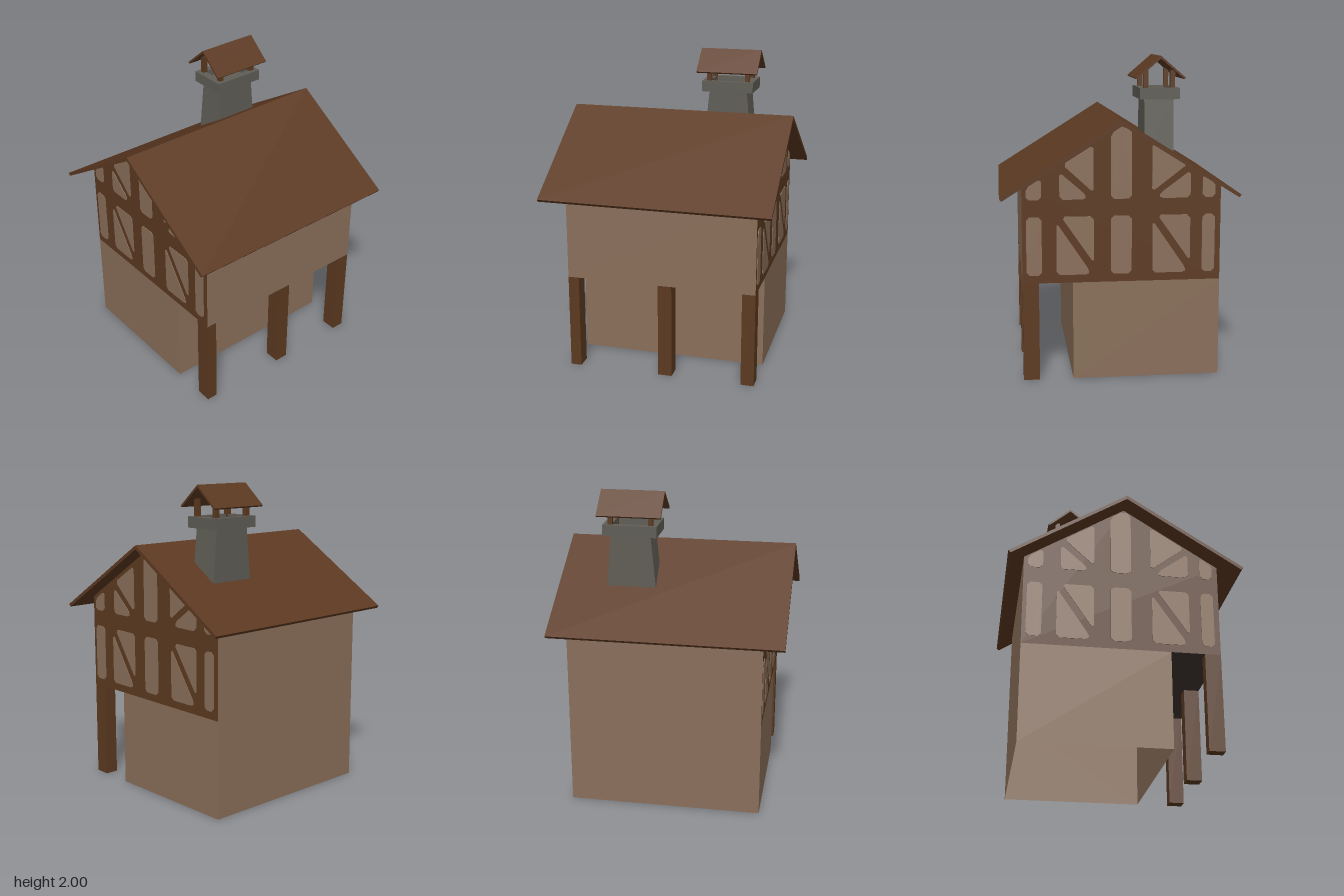
import * as THREE from 'three';

const mat = (name, color, side = THREE.FrontSide) => {
  const m = new THREE.MeshStandardMaterial({ color, side });
  m.name = name;
  return m;
};

// Main dimensions
const L = -0.63, R = 0.6, INNER = 0.29, FRONT = 0.6, BACK = -0.63, FLOOR = 0.62;
const SLOPE = 0.626, PEAK = 1.603;
const under = (x) => PEAK - SLOPE * Math.abs(x);
const midZ = (FRONT + BACK) / 2, depth = FRONT - BACK;

const shapeOf = (pts) => new THREE.Shape(pts.map(([x, y]) => new THREE.Vector2(x, y)));
const rect = (w, d) => [[-w, -d], [w, -d], [w, d], [-w, d]];

// Cut the corners of an outline for a hand-plastered look
const cutCorners = (pts) => pts.flatMap((p, i) => {
  const toward = (q) => {
    const len = Math.hypot(q[0] - p[0], q[1] - p[1]);
    const t = Math.min(0.02 / len, 0.25);
    return [p[0] + (q[0] - p[0]) * t, p[1] + (q[1] - p[1]) * t];
  };
  return [toward(pts[(i + pts.length - 1) % pts.length]), toward(pts[(i + 1) % pts.length])];
});

// Plaster infill outlines, bay by bay, for the lower row and the gable row
function panelOutlines() {
  const low = 0.67, mid = 1.035, sill = 1.14;
  const top = (x) => [x, under(x) - 0.01];
  const outlines = [];
  for (const [a, b] of [[-0.605, -0.51], [-0.085, 0.045], [0.485, 0.565]]) {
    const ridge = a < 0 && b > 0 ? [top(0)] : [];
    outlines.push([[a, low], [b, low], [b, mid], [a, mid]]);
    outlines.push([[a, sill], [b, sill], top(b), ...ridge, top(a)]);
  }
  // Braced bays: a diagonal timber splits each into two triangles
  for (const [a, b] of [[-0.42, -0.19], [0.175, 0.41]]) {
    outlines.push([[a, 1.0], [a, low], [b - 0.03, low], [b - 0.03, 0.7]]);
    outlines.push([[a + 0.03, mid], [b, mid], [b, 0.74]]);
  }
  // Gable braces rise outward from the middle bay
  for (const [a, b] of [[-0.4, -0.19], [0.41, 0.17]]) {
    const d = Math.sign(b - a);
    outlines.push([[a, 1.31], [a, sill], [b - d * 0.05, sill], [b - d * 0.05, 1.17]]);
    outlines.push([top(a + d * 0.02), top(b), [b, 1.18]]);
  }
  return outlines.map(cutCorners);
}

export function createModel() {
  const group = new THREE.Group();
  group.name = 'timberHouse';
  const plaster = mat('plaster', 0x8a6f5a, THREE.DoubleSide);
  const timber = mat('timber', 0x5c3a20, THREE.DoubleSide);
  const shingle = mat('shingle', 0x5c3921);
  const stone = mat('stone', 0x5f5d55);
  const soffitDark = mat('soffit', 0x403630, THREE.DoubleSide);

  const add = (name, geo, material, x = 0, y = 0, z = 0) => {
    const m = new THREE.Mesh(geo, material);
    m.name = name;
    m.position.set(x, y, z);
    group.add(m);
    return m;
  };

  // Plain walls: open shell without a ground floor
  const wall = (name, w, h, x, y, z, turn) => {
    add(name, new THREE.PlaneGeometry(w, h), plaster, x, y + h / 2, z).rotation.y = turn;
  };
  wall('rightWall', depth, under(L), L, 0, midZ, -Math.PI / 2);
  wall('upperLeftWall', depth, under(R) - FLOOR, R, FLOOR, midZ, Math.PI / 2);
  wall('lowerLeftWall', depth, FLOOR, INNER, 0, midZ, Math.PI / 2);
  wall('lowerFrontWall', INNER - L, FLOOR, (L + INNER) / 2, 0, FRONT, 0);
  wall('lowerBackWall', INNER - L, FLOOR, (L + INNER) / 2, 0, BACK, Math.PI);

  // Underside of the overhanging upper floor
  add('overhangSoffit', new THREE.PlaneGeometry(R - INNER, depth), soffitDark,
    (R + INNER) / 2, FLOOR, midZ).rotation.x = Math.PI / 2;

  // Half-timbered gables; the back repeats the pattern as seen from behind
  const gableShape = shapeOf([[L, FLOOR], [R, FLOOR], [R, under(R)], [0, PEAK], [L, under(L)]]);
  const outlines = panelOutlines();
  for (const [name, z, toX] of [['front', FRONT, (x) => x], ['back', BACK, (x) => L + R - x]]) {
    add(name + 'GableTimber', new THREE.ShapeGeometry(gableShape), timber, 0, 0, z);
    const shapes = outlines.map((pts) => shapeOf(pts.map(([px, y]) => {
      const x = toX(px);
      return [x, Math.min(y, under(x) - 0.005)];
    })));
    add(name + 'GablePanels', new THREE.ExtrudeGeometry(shapes, { depth: 0.008, bevelEnabled: false }),
      plaster, 0, 0, z - 0.004);
  }

  // Posts carrying the overhang
  for (const [name, z0, z1] of [['frontPost', 0.53, 0.6], ['middlePost', -0.09, 0], ['backPost', -0.63, -0.545]]) {
    add(name, new THREE.BoxGeometry(0.1, FLOOR, z1 - z0), timber, 0.55, FLOOR / 2, (z0 + z1) / 2);
  }

  // Folded roof slab: a chevron extruded along z
  const roof = (name, half, rise, thick, length, x, y, z) => {
    const s = rise / half, cut = thick * 0.55;
    const shape = shapeOf([[0, 0], [-half, -rise], [-half + cut, -rise - thick + cut * s],
      [0, -thick], [half - cut, -rise - thick + cut * s], [half, -rise]]);
    const geo = new THREE.ExtrudeGeometry(shape, { depth: length, bevelEnabled: false });
    geo.translate(0, 0, -length / 2);
    add(name, geo, shingle, x, y, z);
  };
  roof('mainRoof', 0.735, 0.46, 0.025, 1.476, 0, 1.63, 0);

  // Chimney with tapered shaft, hollow cap, struts and a little roof
  const CX = -0.275, CZ = -0.268;
  const shaft = new THREE.BoxGeometry(0.185, 0.4, 0.25);
  const p = shaft.attributes.position;
  for (let i = 0; i < p.count; i++) if (p.getY(i) < 0) p.setZ(i, p.getZ(i) * 1.3);
  shaft.computeVertexNormals();
  add('chimneyShaft', shaft, stone, CX, 1.55, CZ);

  const capShape = shapeOf(rect(0.125, 0.172));
  capShape.holes.push(shapeOf(rect(0.085, 0.12).reverse()));
  const cap = new THREE.ExtrudeGeometry(capShape, { depth: 0.07, bevelEnabled: false });
  cap.rotateX(-Math.PI / 2);
  add('chimneyCap', cap, stone, CX, 1.73, CZ);

  for (const sx of [-1, 1]) for (const sz of [-1, 1]) {
    add('chimneyStrut', new THREE.BoxGeometry(0.03, 0.15, 0.03), timber, CX + sx * 0.085, 1.835, CZ + sz * 0.128);
  }
  roof('chimneyRoof', 0.157, 0.135, 0.017, 0.406, CX, 2, CZ);

  return group;
}
